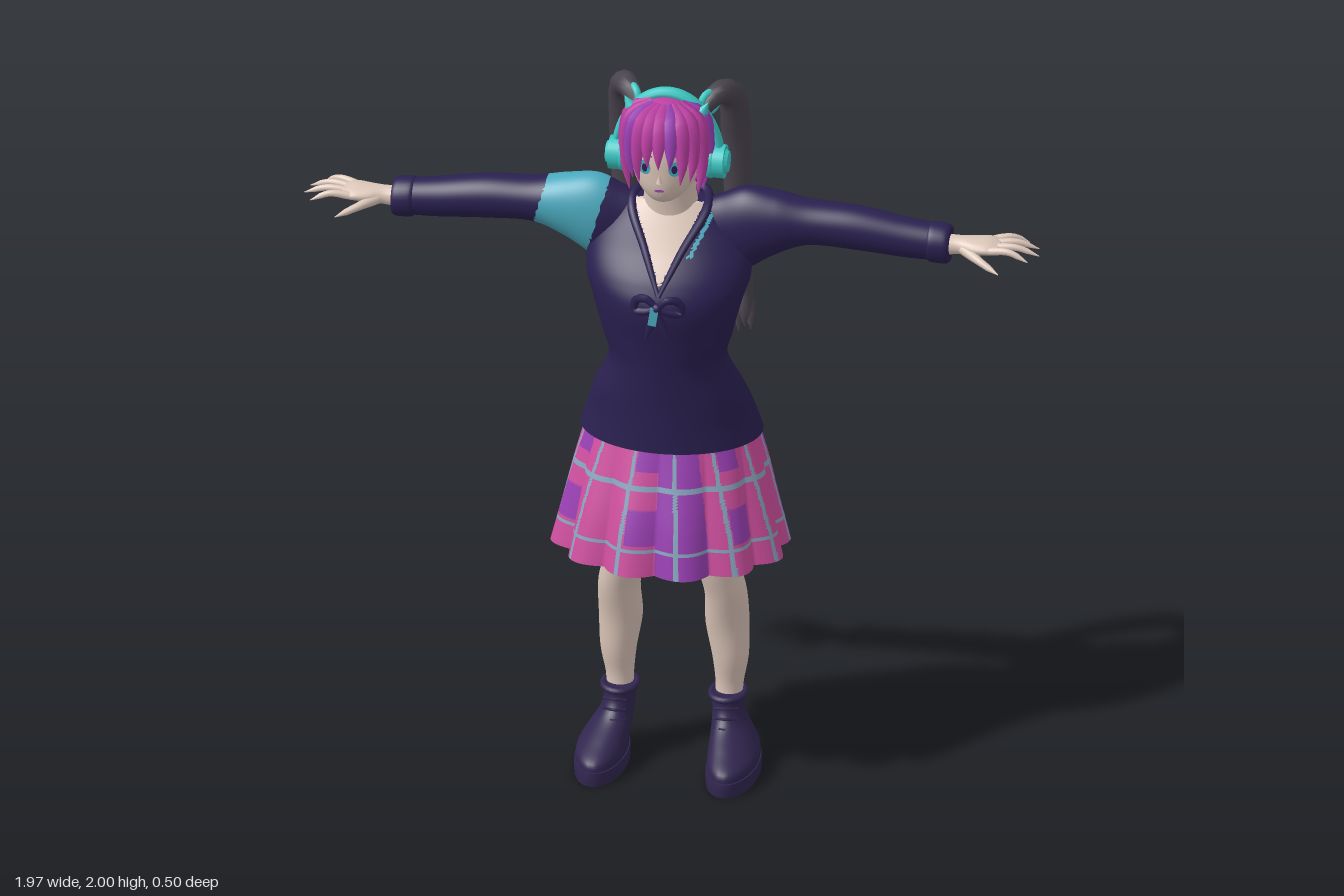
import * as THREE from 'three';

const mat = (name, color, side = THREE.FrontSide) => new THREE.MeshStandardMaterial({ name, color, side });

// Catmull-Rom blend of cross-section rows at t in 0..1
function rowAt(rows, t) {
  const f = t * (rows.length - 1), i = Math.min(Math.floor(f), rows.length - 2), u = f - i;
  const r = k => rows[Math.max(0, Math.min(rows.length - 1, k))];
  const [a, b, c, d] = [r(i - 1), r(i), r(i + 1), r(i + 2)];
  return b.map((_, k) => b[k] + 0.5 * u * (c[k] - a[k] +
    u * (2 * a[k] - 5 * b[k] + 4 * c[k] - d[k] + u * (3 * (b[k] - c[k]) + d[k] - a[k]))));
}

// Loft of ellipses; rows are [y, centreX, centreZ, radiusX, radiusZ], listed upwards
function loft(rows, { n = 32, steps = 32, caps = true, shape = () => 1 } = {}) {
  const pos = [], idx = [];
  for (let i = 0; i <= steps; i++) {
    const [y, cx, cz, rx, rz] = rowAt(rows, i / steps);
    for (let j = 0; j < n; j++) {
      const a = j / n * Math.PI * 2, s = shape(a, i / steps);
      pos.push(cx + rx * s * Math.cos(a), y, cz + rz * s * Math.sin(a));
      if (i < steps) {
        const p = i * n + j, q = i * n + (j + 1) % n;
        idx.push(p, p + n, q, q, p + n, q + n);
      }
    }
  }
  if (caps) for (const i of [0, steps]) {
    const [y, cx, , , ] = rowAt(rows, i / steps), cz = rowAt(rows, i / steps)[2];
    const base = pos.length / 3;
    pos.push(cx, y, cz);
    for (let j = 0; j < n; j++) {
      const s = (i * n + j) * 3;
      pos.push(pos[s], pos[s + 1], pos[s + 2]);
      const p = base + 1 + j, q = base + 1 + (j + 1) % n;
      if (i) idx.push(base, q, p); else idx.push(base, p, q);
    }
  }
  const g = new THREE.BufferGeometry();
  g.setAttribute('position', new THREE.Float32BufferAttribute(pos, 3));
  g.setIndex(idx);
  g.computeVertexNormals();
  return g;
}

// Tapered tube through points, with radii spread evenly along it
function strand(points, radii, seg = 16, sides = 8) {
  const curve = new THREE.CatmullRomCurve3(points.map(p => new THREE.Vector3(...p)));
  const g = new THREE.TubeGeometry(curve, seg, 1, sides), p = g.attributes.position, v = new THREE.Vector3();
  for (let i = 0; i <= seg; i++) {
    const c = curve.getPointAt(i / seg), f = i / seg * (radii.length - 1), k = Math.min(Math.floor(f), radii.length - 2);
    const r = radii[k] + (radii[k + 1] - radii[k]) * (f - k);
    for (let j = 0; j <= sides; j++) {
      const id = i * (sides + 1) + j;
      v.fromBufferAttribute(p, id).sub(c).multiplyScalar(r).add(c);
      p.setXYZ(id, v.x, v.y, v.z);
    }
  }
  return g;
}

// Sort triangles into material groups by a rule on their centre; -1 drops the triangle
function paint(g, count, rule) {
  const p = g.attributes.position, ix = g.index.array, lists = Array.from({ length: count }, () => []);
  for (let i = 0; i < ix.length; i += 3) {
    const t = [ix[i], ix[i + 1], ix[i + 2]];
    const m = rule(...['getX', 'getY', 'getZ'].map(f => (p[f](t[0]) + p[f](t[1]) + p[f](t[2])) / 3));
    if (m >= 0) lists[m].push(...t);
  }
  g.setIndex(lists.flat());
  let start = 0;
  lists.forEach((l, m) => { g.addGroup(start, l.length, m); start += l.length; });
  return g;
}

function mirrored(geo) {
  const g = geo.clone().scale(-1, 1, 1), ix = Array.from(g.index.array);
  for (let i = 0; i < ix.length; i += 3) [ix[i + 1], ix[i + 2]] = [ix[i + 2], ix[i + 1]];
  g.setIndex(ix);
  return g;
}

export function createModel() {
  const root = new THREE.Group();
  const D = THREE.DoubleSide;
  const navy = mat('sweater navy', 0x2a2050), boot = mat('boot purple', 0x31264f), skin = mat('skin', 0xdcc6b9);
  const grey = mat('ponytail grey', 0x4a444e), teal = mat('headphone teal', 0x3cc8c4), blue = mat('armband blue', 0x4ba9be);
  const hair = mat('hair pink', 0xbb3fa2, D), pink = mat('skirt pink', 0xcf4f9f, D);
  const purple = mat('skirt purple', 0x9a40b4, D), line = mat('plaid line', 0x88a5bd, D);
  const add = (name, geo, m) => {
    const mesh = new THREE.Mesh(geo, m);
    mesh.name = name;
    root.add(mesh);
  };
  const pair = (name, geo, m) => { add(name + 'Left', geo, m); add(name + 'Right', mirrored(geo), m); };

  // Legs and boots
  pair('leg', loft([[.15, .145, -.05, .036, .036], [.22, .147, -.055, .037, .037], [.3, .15, -.052, .048, .05],
    [.4, .143, -.047, .058, .058], [.5, .143, -.025, .056, .063], [.57, .13, -.01, .057, .066],
    [.65, .118, .002, .063, .068], [.8, .115, 0, .085, .095], [.97, .11, 0, .1, .11]]), skin);
  pair('boot', loft([[.03, .176, .038, .066, .15], [.06, .175, .034, .066, .145], [.09, .165, .004, .057, .115],
    [.125, .152, -.032, .046, .08], [.16, .146, -.044, .042, .062], [.2, .145, -.046, .043, .059]]), boot);
  pair('sole', loft([[0, .176, .04, .069, .155], [.02, .176, .04, .07, .156], [.038, .176, .04, .069, .154]], { steps: 4 }), boot);
  pair('bootCuff', new THREE.TorusGeometry(.044, .009, 8, 24).rotateX(Math.PI / 2).scale(1, 1, 1.32).translate(.145, .195, -.046), boot);
  for (let i = 0; i < 3; i++) pair('lace' + i, strand([[.118, .12 + i * .025, .025 - i * .008],
    [.15, .125 + i * .025, .045 - i * .013], [.18, .12 + i * .025, .02 - i * .008]], [.004, .004], 6, 5), boot);

  // Pleated plaid skirt
  const skirt = loft([[.655, 0, .002, .32, .256], [.78, 0, -.005, .288, .232], [.9, 0, -.014, .258, .2], [1, 0, -.02, .23, .172]],
    { n: 288, steps: 48, caps: false, shape: (a, v) => 1 - .12 * (1 - Math.abs(Math.sin(6 * a))) * (1 - v * .8) });
  add('skirt', paint(skirt, 3, (x, y, z) => {
    const a = (Math.atan2(z / .256, x / .32) / (Math.PI * 2) + 1) % 1 * 12, k = Math.floor(a), f = a - k;
    if (Math.abs(y - .725) < .006 || Math.abs(y - .885) < .006 || Math.abs(f - .62) < .045) return 2;
    const patch = (y > .74 && y < .83 || y > .93) && f < .55;
    return k === 2 || k === 7 || k === 10 || (k % 2 === 1 && patch) ? 1 : 0;
  }), [pink, purple, line]);

  // Sweater body with open neckline and a collar stripe
  const body = loft([[.985, 0, -.016, .243, .183], [1.05, 0, -.01, .222, .175], [1.12, 0, .012, .2, .153],
    [1.22, 0, .035, .158, .135], [1.3, 0, .046, .174, .132], [1.4, 0, .045, .2, .145], [1.47, 0, .027, .22, .138],
    [1.55, 0, -.004, .21, .112], [1.62, 0, -.02, .155, .084], [1.66, 0, -.025, .105, .065]], { n: 128, steps: 120 });
  add('sweaterBody', paint(body, 3, (x, y, z) => {
    const edge = (y - 1.47) * .5;
    if (z > 0 && y > 1.47 && Math.abs(x) < edge) return 1;
    return z > 0 && x > 0 && y > 1.54 && y < 1.64 && Math.abs(x - edge - .035) < .006 ? 2 : 0;
  }), [navy, skin, blue]);
  pair('collar', strand([[0, 1.667, -.085], [.085, 1.668, -.05], [.1, 1.645, .025], [.05, 1.555, .108], [0, 1.45, .176]],
    [.01, .013, .012, .01, .006], 28), navy);

  // Chest bow
  pair('bowLoop', strand([[0, 1.425, .192], [.03, 1.45, .19], [.058, 1.44, .18], [.06, 1.41, .178], [.03, 1.412, .188], [0, 1.425, .192]],
    [.008, .01, .012, .012, .01, .008], 24, 6), navy);
  pair('bowTail', strand([[0, 1.42, .194], [.018, 1.37, .193], [.035, 1.32, .188]], [.006, .012, .001], 10, 6), navy);
  add('bowKnot', new THREE.SphereGeometry(.014, 12, 8).translate(0, 1.427, .195), navy);
  add('bowPin', new THREE.BoxGeometry(.022, .05, .008).rotateZ(-.15).translate(-.008, 1.405, .203), blue);

  // Sleeves, the right one with a coloured band
  const sleeve = loft([[.06, -1.55, -.02, .09, .05], [.13, -1.562, -.02, .11, .062], [.2, -1.582, -.02, .118, .072],
    [.28, -1.603, -.02, .089, .07], [.37, -1.612, -.022, .062, .062], [.5, -1.607, -.022, .06, .058],
    [.63, -1.592, -.021, .054, .052], [.73, -1.585, -.02, .048, .047]], { n: 48, steps: 96 }).rotateZ(-Math.PI / 2);
  add('sleeveLeft', sleeve, navy);
  add('sleeveRight', paint(mirrored(sleeve), 2, (x, y) => {
    const k = (1.69 - y) * .27;
    return x > -.33 - k && x < -.165 - k ? 1 : 0;
  }), [navy, blue]);
  pair('cuff', loft([[.69, -1.586, -.02, .051, .049], [.7, -1.586, -.02, .055, .053], [.735, -1.584, -.02, .054, .052],
    [.747, -1.584, -.02, .048, .047]], { steps: 12 }).rotateZ(-Math.PI / 2), navy);

  // Hands
  pair('palm', loft([[.72, -1.582, -.018, .03, .032], [.77, -1.585, -.018, .025, .028], [.81, -1.588, -.016, .022, .04],
    [.85, -1.59, -.018, .019, .047], [.88, -1.588, -.02, .012, .042]], { n: 20, steps: 16 }).rotateZ(-Math.PI / 2), skin);
  [[.945, -.092], [.978, -.058], [.986, -.015], [.962, .028]].forEach(([x, z], i) => {
    const z0 = -.053 + i * .023;
    pair('finger' + i, strand([[.845, 1.588, z0], [(x + .86) / 2, 1.594, (z + z0) / 2], [x, 1.572, z]],
      [.011, .011, .0095, .008, .001], 12, 8), skin);
  });
  pair('thumb', strand([[.785, 1.582, 0], [.83, 1.57, .035], [.89, 1.545, .062]], [.016, .014, .011, .009, .001], 12, 8), skin);

  // Neck, head and face
  add('neck', loft([[1.56, 0, -.012, .1, .07], [1.62, 0, -.008, .082, .064], [1.68, 0, .005, .07, .056], [1.78, 0, .02, .068, .056]]), skin);
  add('head', loft([[1.7, 0, .075, .02, .03], [1.715, 0, .075, .045, .062], [1.75, 0, .065, .075, .088], [1.8, 0, .057, .092, .1],
    [1.86, 0, .052, .097, .104], [1.92, 0, .05, .08, .09], [1.96, 0, .05, .03, .04]]), skin);
  add('nose', new THREE.ConeGeometry(.009, .025, 8).translate(0, 1.79, .158), skin);
  const disc = (rx, ry, x, y, z, turn) => new THREE.CircleGeometry(1, 20).scale(rx, ry, 1).rotateY(turn).translate(x, y, z);
  pair('eye', disc(.017, .021, .04, 1.82, .154, .32), blue);
  pair('pupil', disc(.008, .012, .04, 1.82, .157, .32), navy);
  pair('eyebrow', strand([[.02, 1.852, .156], [.04, 1.858, .151], [.06, 1.85, .14]], [.002, .003, .001], 6, 5), hair);
  add('mouth', disc(.013, .004, 0, 1.755, .159, 0), purple);

  // Hair cap with darker locks, open at the face
  const cap = new THREE.SphereGeometry(1, 72, 48).scale(.11, .127, .125).translate(0, 1.853, .045);
  add('hairCap', paint(cap, 2, (x, y, z) => {
    if (y < 1.755 || (z > .085 && y < 1.915)) return -1;
    return Math.sin(Math.atan2(x, z - .045) * 9) > .72 && y < 1.95 ? 1 : 0;
  }), [hair, purple]);
  for (let i = 0; i < 11; i++) {
    const s = (i - 5) / 5, a = s * 1.45, sx = Math.sin(a), cz = Math.cos(a);
    const tip = 1.85 - .125 * Math.abs(s) - (i % 2) * .025;
    add('fringeLock' + i, strand([[sx * .04, 1.968, .045 + cz * .04], [sx * .093, 1.935, .045 + cz * .108],
      [sx * .112, (1.9 + tip) / 2, .045 + cz * .132], [sx * .1, tip, .05 + cz * .125]], [.012, .026, .021, .014, .001], 14, 6),
      i % 4 === 2 ? purple : hair);
  }
  for (let i = 0; i < 7; i++) {
    const a = Math.PI + (i - 3) * .4, sx = Math.sin(a), cz = Math.cos(a);
    add('napeLock' + i, strand([[sx * .1, 1.82, .045 + cz * .112], [sx * .095, 1.77, .045 + cz * .1],
      [sx * .07, 1.72 + (i % 2) * .015, .045 + cz * .075]], [.015, .02, .001], 8, 6), i % 2 ? purple : hair);
  }

  // Long ponytails with ragged tips
  pair('ponytail', strand([[.085, 1.925, .005], [.12, 1.962, -.03], [.145, 1.935, -.085], [.15, 1.83, -.125], [.15, 1.7, -.148],
    [.152, 1.55, -.155], [.16, 1.4, -.15], [.168, 1.28, -.145]], [.02, .034, .038, .041, .041, .038, .033, .028, .03, .026], 48, 12), grey);
  for (let i = 0; i < 5; i++) {
    const a = i / 5 * Math.PI * 2, dx = Math.cos(a) * .016, dz = Math.sin(a) * .026;
    pair('ponytailTip' + i, strand([[.168 + dx * .6, 1.33, -.146 + dz * .5], [.169 + dx, 1.28, -.146 + dz * 1.1],
      [.17 + dx, 1.215 + (i % 2) * .02, -.146 + dz]], [.012, .017, .001], 8, 6), grey);
  }
  pair('hairTie', new THREE.TorusGeometry(.028, .01, 8, 20).rotateY(.9).translate(.102, 1.945, -.01), teal);

  // Headphones
  add('headband', new THREE.TorusGeometry(.142, .011, 10, 40, Math.PI).scale(1, 1.35, 1.8).translate(0, 1.793, .035), teal);
  pair('earCup', new THREE.CylinderGeometry(.045, .045, .03, 28).rotateZ(Math.PI / 2).translate(.14, 1.8, .042), teal);
  pair('earCushion', new THREE.TorusGeometry(.034, .014, 8, 28).rotateY(Math.PI / 2).translate(.118, 1.8, .042), teal);
  pair('earCupPlate', new THREE.CylinderGeometry(.028, .034, .01, 24).rotateZ(-Math.PI / 2).translate(.159, 1.8, .042), teal);
  pair('bandEar', new THREE.ConeGeometry(.026, .055, 12).rotateZ(-.5).translate(.1, 1.955, .06), teal);
  return root;
}
